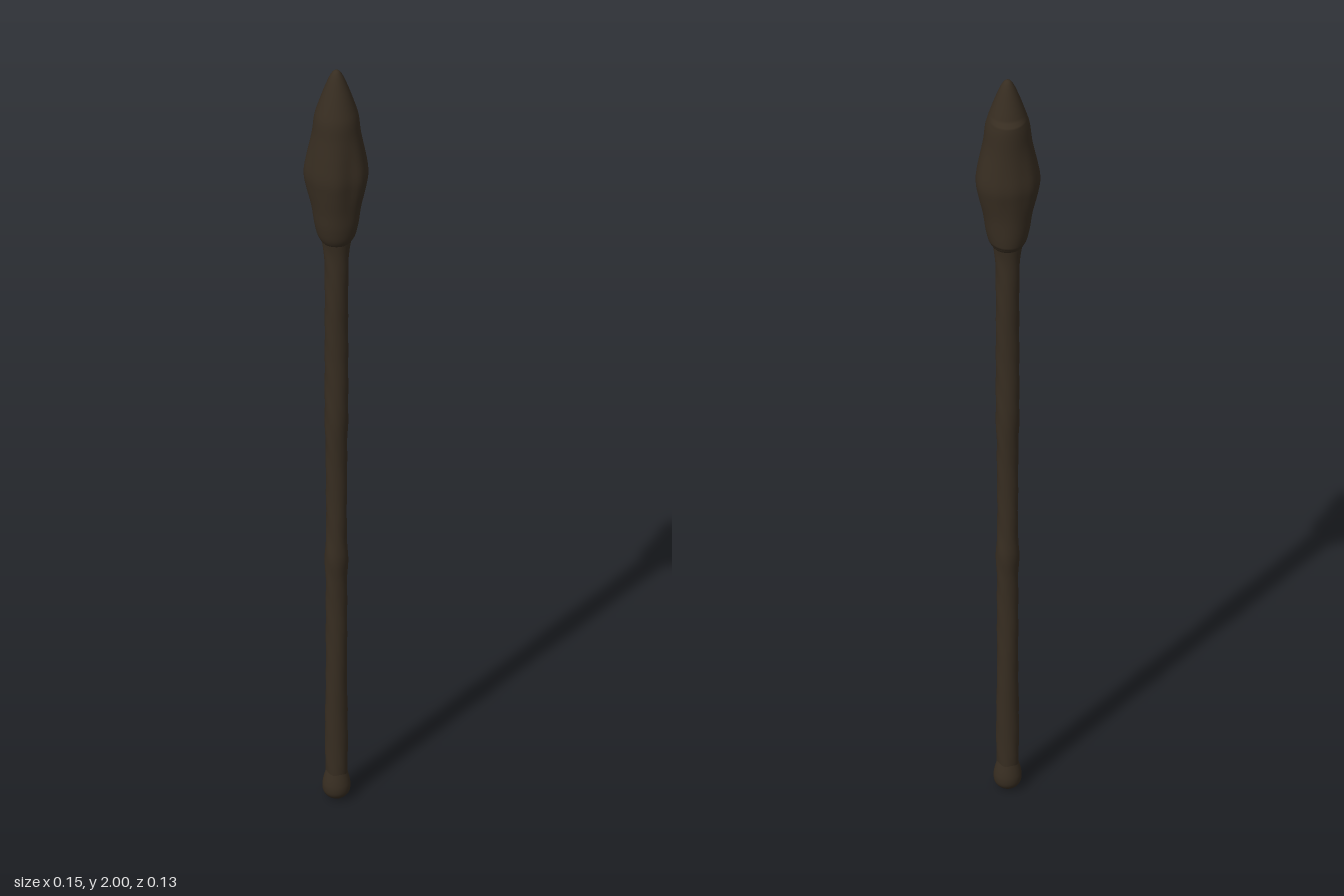
import * as THREE from 'three';
import { mergeVertices } from 'three/addons/utils/BufferGeometryUtils.js';

const TAU = Math.PI * 2;

// Smooth lathe whose radius is reshaped by rule(radius, angle, y)
function carvedLathe(points, rows, rule) {
  const curve = new THREE.CatmullRomCurve3(points.map(([r, y]) => new THREE.Vector3(r, y, 0)), false, 'centripetal');
  const profile = curve.getPoints(rows).map(p => new THREE.Vector2(Math.max(p.x, 0), p.y));
  let geo = new THREE.LatheGeometry(profile, 48);
  geo.deleteAttribute('uv');
  geo.deleteAttribute('normal');
  const pos = geo.attributes.position;
  for (let i = 0; i < pos.count; i++) {
    const x = pos.getX(i), y = pos.getY(i), z = pos.getZ(i);
    const a = (Math.atan2(x, z) + TAU) % TAU;
    const r = rule(Math.hypot(x, z), a, y);
    pos.setXYZ(i, r * Math.sin(a), y, r * Math.cos(a));
  }
  geo = mergeVertices(geo, 1e-5);
  geo.computeVertexNormals();
  return geo;
}

// Widest outline of the head, every 30 degrees starting at +z
const outline = [0.067, 0.063, 0.073, 0.075, 0.077, 0.071, 0.067, 0.067, 0.073, 0.077, 0.068, 0.066];
function outlineRadius(a) {
  const t = a / TAU * 12, i = Math.floor(t) % 12, f = t - Math.floor(t);
  const s = f * f * (3 - 2 * f);
  return outline[i] * (1 - s) + outline[(i + 1) % 12] * s;
}

export function createModel() {
  const group = new THREE.Group();
  const darkWood = new THREE.MeshStandardMaterial({ color: 0x372d21 });
  darkWood.name = 'darkWood';
  const add = (name, geo) => {
    const mesh = new THREE.Mesh(geo, darkWood);
    mesh.name = name;
    group.add(mesh);
  };

  // Slightly knotty shaft with a flared collar
  add('shaft', carvedLathe([
    [0.024, 0.03], [0.026, 0.1], [0.025, 0.4], [0.025, 0.6], [0.028, 0.66], [0.025, 0.72],
    [0.025, 0.95], [0.028, 1.04], [0.027, 1.2], [0.028, 1.4], [0.030, 1.5], [0.036, 1.55],
  ], 110, (r, a, y) => r + 0.0011 * Math.sin(3 * a + 23 * y) * Math.sin(41 * y + a)));

  // Rounded butt
  add('buttKnob', carvedLathe([
    [0, 0], [0.018, 0.004], [0.03, 0.017], [0.033, 0.034], [0.031, 0.05], [0.026, 0.07], [0.022, 0.085],
  ], 24, r => r));

  // Lumpy pointed head, fullest at the middle
  add('head', carvedLathe([
    [0, 1.525], [0.028, 1.528], [0.042, 1.545], [0.051, 1.58], [0.056, 1.63], [0.063, 1.68], [0.067, 1.72],
    [0.063, 1.77], [0.056, 1.83], [0.052, 1.875], [0.044, 1.905], [0.029, 1.95], [0.015, 1.985], [0.007, 1.997], [0, 2],
  ], 80, (r, a, y) => {
    const bulge = Math.exp(-(((y - 1.72) / 0.085) ** 2));
    // The back stays nearly straight along its length
    const back = Math.max(0, -Math.cos(a)) ** 3 * Math.min(1, r / 0.05);
    const fill = r > 0.045 ? back * (0.062 - r) * 0.7 : 0;
    return r + (outlineRadius(a) - 0.067) * bulge + fill * (1 - bulge);
  }));

  return group;
}
